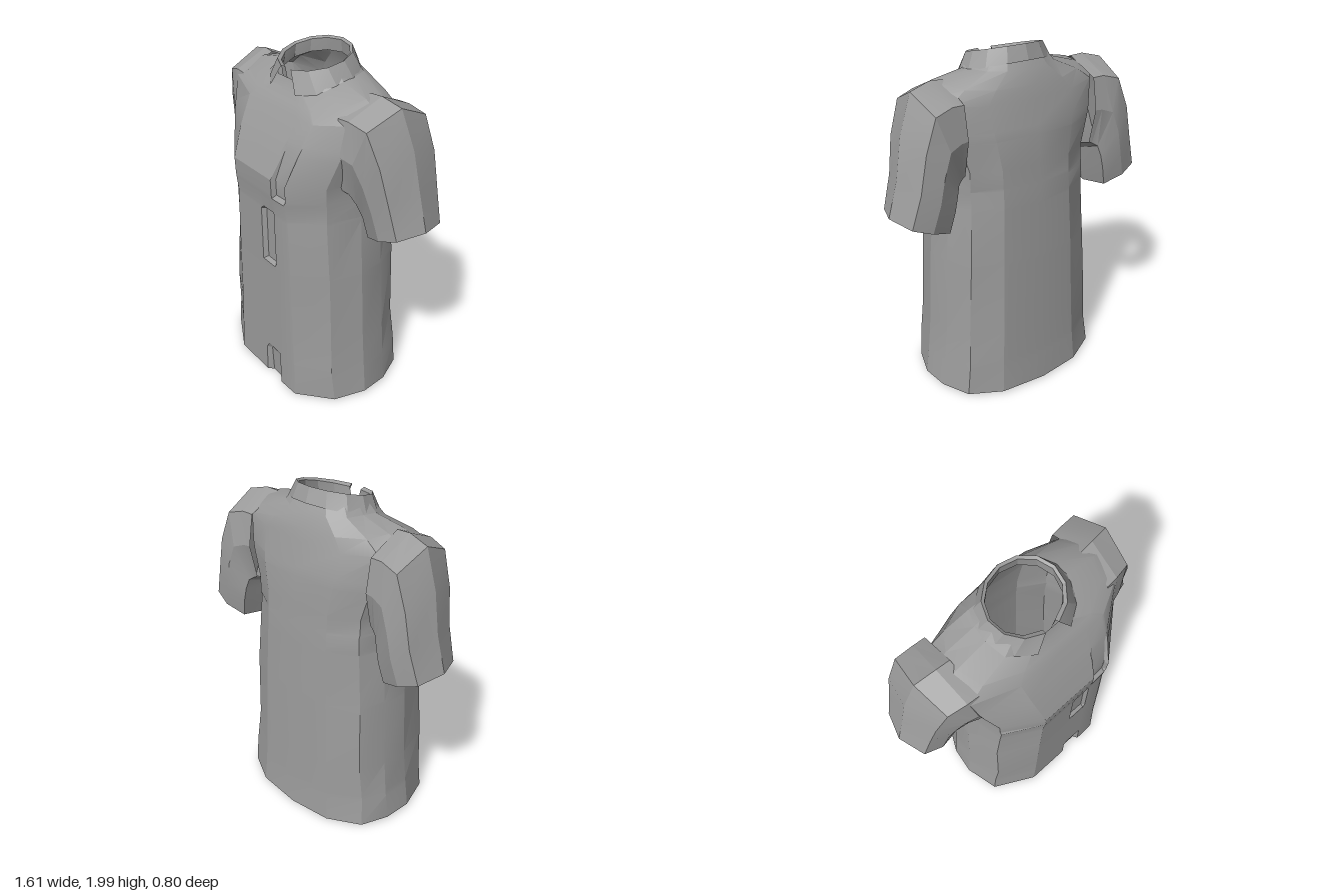
import * as THREE from 'three';
import { toCreasedNormals } from 'three/addons/utils/BufferGeometryUtils.js';

const material = new THREE.MeshStandardMaterial({ color: 0x9b9b9b, side: THREE.DoubleSide });

// Skin between successive rings of [x, y, z] points
function loft(rings, closed, crease) {
  const n = rings[0].length;
  const index = [];
  for (let r = 0; r < rings.length - 1; r++) {
    for (let i = 0; i < (closed ? n : n - 1); i++) {
      const j = (i + 1) % n;
      const a = r * n + i, b = r * n + j, c = a + n, d = b + n;
      index.push(a, b, d, a, d, c);
    }
  }
  const geometry = new THREE.BufferGeometry();
  geometry.setAttribute('position', new THREE.Float32BufferAttribute(rings.flat(2), 3));
  geometry.setIndex(index);
  return toCreasedNormals(geometry, crease);
}

// Torso outline, front centre round by the left side, as fractions of width and depth;
// points marked 1 sink for the lower button flap, those marked 2 for the chest flap
const outline = [
  [0, 1], [0.05, 1], [0.1, 1, 1], [0.28, 1, 1], [0.31, 1], [0.34, 1, 2], [0.53, 0.99, 2], [0.56, 0.98],
  [0.89, 0.6], [1, 0.12], [0.97, -0.3], [0.83, -0.68], [0.5, -0.93], [0, -1], [-0.47, -0.93],
  [-0.82, -0.68], [-0.96, -0.3], [-1, 0.12], [-0.9, 0.68], [-0.45, 1],
];

// Half width, front z, back z, height at front, side and back, which flap sinks and how far
function torsoRing([w, zf, zb, yf, ys = yf, yb = yf, flap = 0, sink = 0]) {
  return outline.map(([fx, fz, mark], i) => {
    const f = Math.abs(fz);
    const y = ys + ((fz > 0 ? yf : yb) - ys) * f;
    // Loose folds down the sides
    const fold = Math.abs(fx) > 0.8 && y < 1.3 ? 1 + 0.04 * Math.sin(i * 2.3 + y * 8) : 1;
    return [0.015 + fx * w, y, (fz > 0 ? fz * zf : f * zb) * fold - (flap && mark === flap ? sink : 0)];
  });
}

function torso() {
  const rings = [
    [0.555, 0.39, -0.4, 0.01, 0.03, 0.02, 1, 0.03],
    [0.535, 0.388, -0.386, 0.19, 0.19, 0.19, 1, 0.02],
    [0.53, 0.388, -0.384, 0.23],
    [0.51, 0.385, -0.375, 0.43],
    [0.485, 0.385, -0.357, 0.84],
    [0.483, 0.385, -0.356, 0.86, 0.86, 0.86, 1, 0.02],
    [0.457, 0.385, -0.338, 1.17, 1.17, 1.17, 1, 0.02],
    [0.455, 0.385, -0.337, 1.19],
    [0.455, 0.395, -0.33, 1.28],
    [0.455, 0.397, -0.328, 1.3, 1.3, 1.3, 2, 0.025],
    [0.455, 0.4, -0.322, 1.39, 1.39, 1.39, 2, 0.025],
    [0.51, 0.335, -0.308, 1.55, 1.55, 1.55, 2, 0.01],
    [0.525, 0.31, -0.298, 1.6],
    [0.55, 0.255, -0.265, 1.71, 1.79, 1.73],
    [0.44, 0.225, -0.25, 1.76, 1.845, 1.8],
    [0.26, 0.19, -0.22, 1.8, 1.88, 1.88],
    [0.205, 0.17, -0.18, 1.85, 1.93, 1.95],
  ].map(torsoRing);
  return loft(rings, true, 0.35);
}

// Sleeve outline from the outer ridge round to the armpit, as fractions of height and depth
const sleeveOutline = [
  [0, 0], [0.16, 0.86], [0.5, 1], [0.88, 0.82], [1, 0], [0.88, -0.82], [0.5, -1], [0.16, -0.86],
];

// Sleeve rings: outer point, inner point, front z, back z
function sleeve(side) {
  const rings = [
    [0.42, 1.845, 0.42, 1.32, 0.205, -0.26],
    [0.5, 1.85, 0.43, 1.31, 0.2, -0.265],
    [0.62, 1.82, 0.45, 1.29, 0.175, -0.28],
    [0.7, 1.62, 0.46, 1.25, 0.14, -0.29],
    [0.745, 1.4, 0.475, 1.19, 0.105, -0.29],
    [0.805, 1.2, 0.5, 1.085, 0.085, -0.275],
  ].map(([xo, yo, xi, yi, zf, zb]) => sleeveOutline.map(([k, s]) => [
    side * (xo + (xi - xo) * k),
    yo + (yi - yo) * k,
    (zf + zb) / 2 + side * s * (zf - zb) / 2,
  ]));
  return loft(rings, true, 0.25);
}

// Collar rows swept from one front point round the nape to the other
function collar() {
  const steps = 12;
  const row = (w, zf, zb, yf, yb, gap) => Array.from({ length: steps + 1 }, (_, i) => {
    const t = gap + (i / steps) * (Math.PI * 2 - gap * 2);
    const c = Math.cos(t);
    return [0.02 + Math.sin(t) * w, (yf + yb) / 2 + c * (yf - yb) / 2, c > 0 ? c * zf : -c * zb];
  });
  return loft([
    row(0.265, 0.235, -0.215, 1.79, 1.92, 0.42),
    row(0.21, 0.195, -0.185, 1.91, 2.0, 0.2),
    row(0.195, 0.17, -0.17, 1.9, 1.99, 0.2),
    row(0.2, 0.165, -0.18, 1.83, 1.92, 0.1),
  ], false, 0.25);
}

export function createModel() {
  const group = new THREE.Group();
  group.name = 'shirt';
  const parts = {
    torso: torso(),
    leftSleeve: sleeve(1),
    rightSleeve: sleeve(-1),
    collar: collar(),
  };
  for (const [name, geometry] of Object.entries(parts)) {
    const mesh = new THREE.Mesh(geometry, material);
    mesh.name = name;
    group.add(mesh);
  }
  return group;
}
